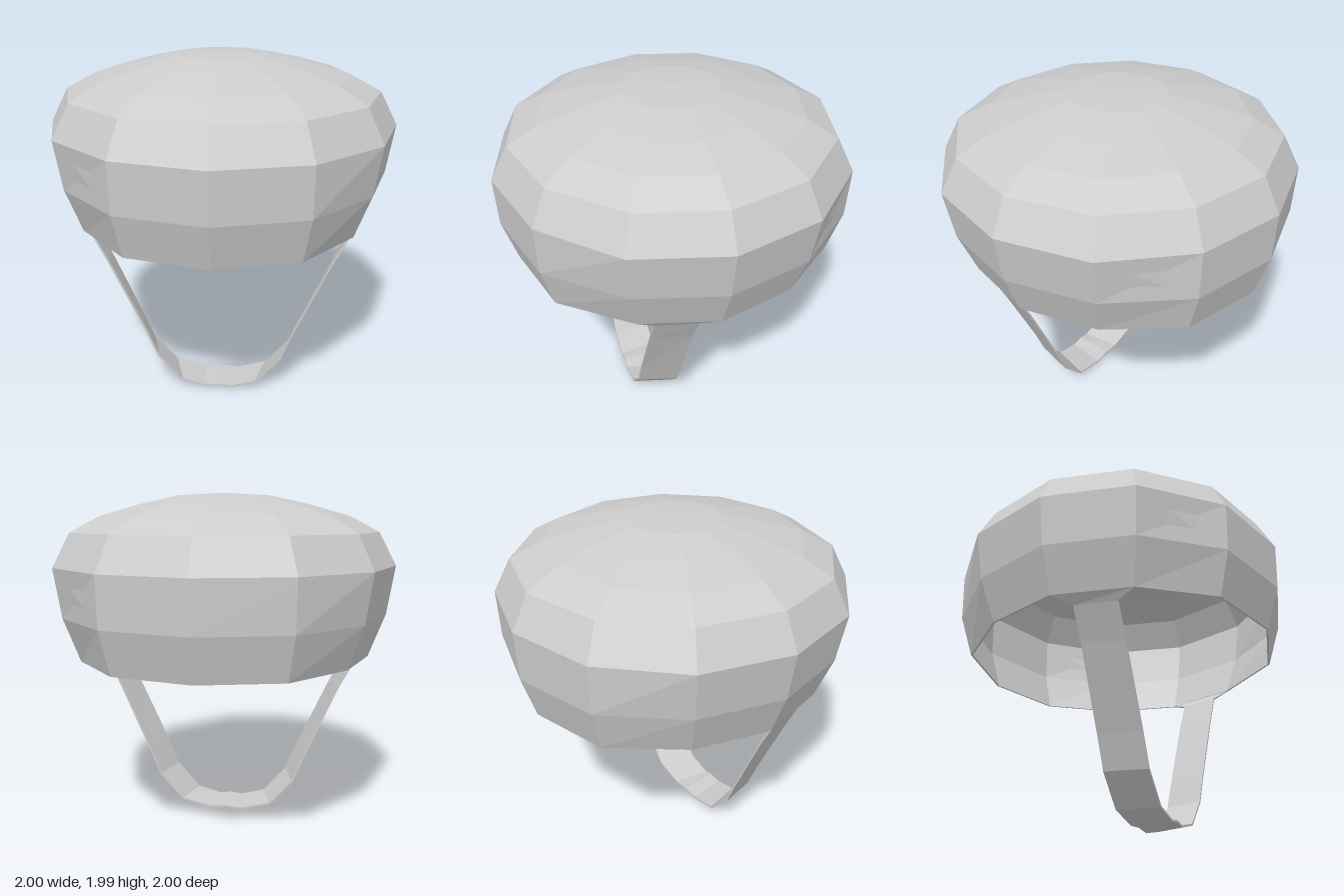
import * as THREE from 'three';

const THICK = 0.012;

// Joins closed rings of points with quads; faces point outward when rings run downward.
function loft(rings) {
  const pos = [];
  const tri = (a, b, c) => {
    if (a.distanceTo(b) < 1e-6 || b.distanceTo(c) < 1e-6 || a.distanceTo(c) < 1e-6) return;
    for (const p of [a, b, c]) pos.push(p.x, p.y, p.z);
  };
  for (let r = 0; r < rings.length - 1; r++) {
    const a = rings[r], b = rings[r + 1], n = a.length;
    for (let i = 0; i < n; i++) {
      const j = (i + 1) % n;
      tri(a[i], a[j], b[j]);
      tri(a[i], b[j], b[i]);
    }
  }
  const geo = new THREE.BufferGeometry();
  geo.setAttribute('position', new THREE.Float32BufferAttribute(pos, 3));
  geo.computeVertexNormals();
  return geo;
}

// Twelve-sided ring; the three corners on each side are pulled in to sideR.
function shellRing(r, y, sideR = r) {
  return Array.from({ length: 12 }, (_, i) => {
    const a = (i * Math.PI) / 6;
    const rad = Math.abs(Math.cos(a)) > 0.8 ? sideR : r;
    return new THREE.Vector3(rad * Math.cos(a), y, rad * Math.sin(a));
  });
}

export function createModel() {
  const group = new THREE.Group();
  const grey = new THREE.MeshStandardMaterial({ color: 0xcccccc, flatShading: true, side: THREE.DoubleSide });
  grey.name = 'light grey';

  // Domed shell: radius, height, radius at the sides
  const profile = [
    [0, 1.99], [0.27, 1.975], [0.5, 1.925], [0.73, 1.86], [0.9, 1.77],
    [1, 1.58], [0.99, 1.3, 0.955], [0.915, 1.05, 0.86],
  ];
  const outer = profile.map(p => shellRing(...p));
  const inner = profile.map(([r, y, s = r]) => shellRing(
    Math.max(0, r - THICK), y > 1.6 ? y - THICK : y, Math.max(0, s - THICK))).reverse();
  const shell = new THREE.Mesh(loft([...outer, ...inner]), grey);
  shell.name = 'helmetShell';
  group.add(shell);

  // Chin strap half: back edge x, y, z, then front edge x, y, z
  const half = [
    [0.86, 1.05, 0, 0.745, 1.05, 0.43],
    [0.79, 1.0, 0.1, 0.735, 1.0, 0.33],
    [0.7, 0.83, 0.1, 0.64, 0.81, 0.33],
    [0.505, 0.39, 0.1, 0.445, 0.39, 0.33],
    [0.43, 0.21, 0.1, 0.37, 0.21, 0.33],
    [0.285, 0.045, 0.1, 0.225, 0.045, 0.33],
    [0.1, 0, 0.1, 0.07, 0.004, 0.33],
    [0, 0.01, 0.1, 0, 0.016, 0.33],
  ];
  const mirrored = half.slice(0, -1).reverse().map(([a, b, c, d, e, f]) => [-a, b, c, -d, e, f]);
  const rows = [...half, ...mirrored].map(([a, b, c, d, e, f]) =>
    [new THREE.Vector3(a, b, c), new THREE.Vector3(d, e, f)]);
  const inset = (i, k) => {
    const t = rows[Math.min(i + 1, rows.length - 1)][k].clone().sub(rows[Math.max(i - 1, 0)][k]).normalize();
    return rows[i][k].clone().add(new THREE.Vector3(t.y, -t.x, 0).multiplyScalar(THICK));
  };
  const strapRings = rows.map(([back, front], i) => [back, front, inset(i, 1), inset(i, 0)]);
  const strap = new THREE.Mesh(loft(strapRings), grey);
  strap.name = 'chinStrap';
  group.add(strap);

  return group;
}
